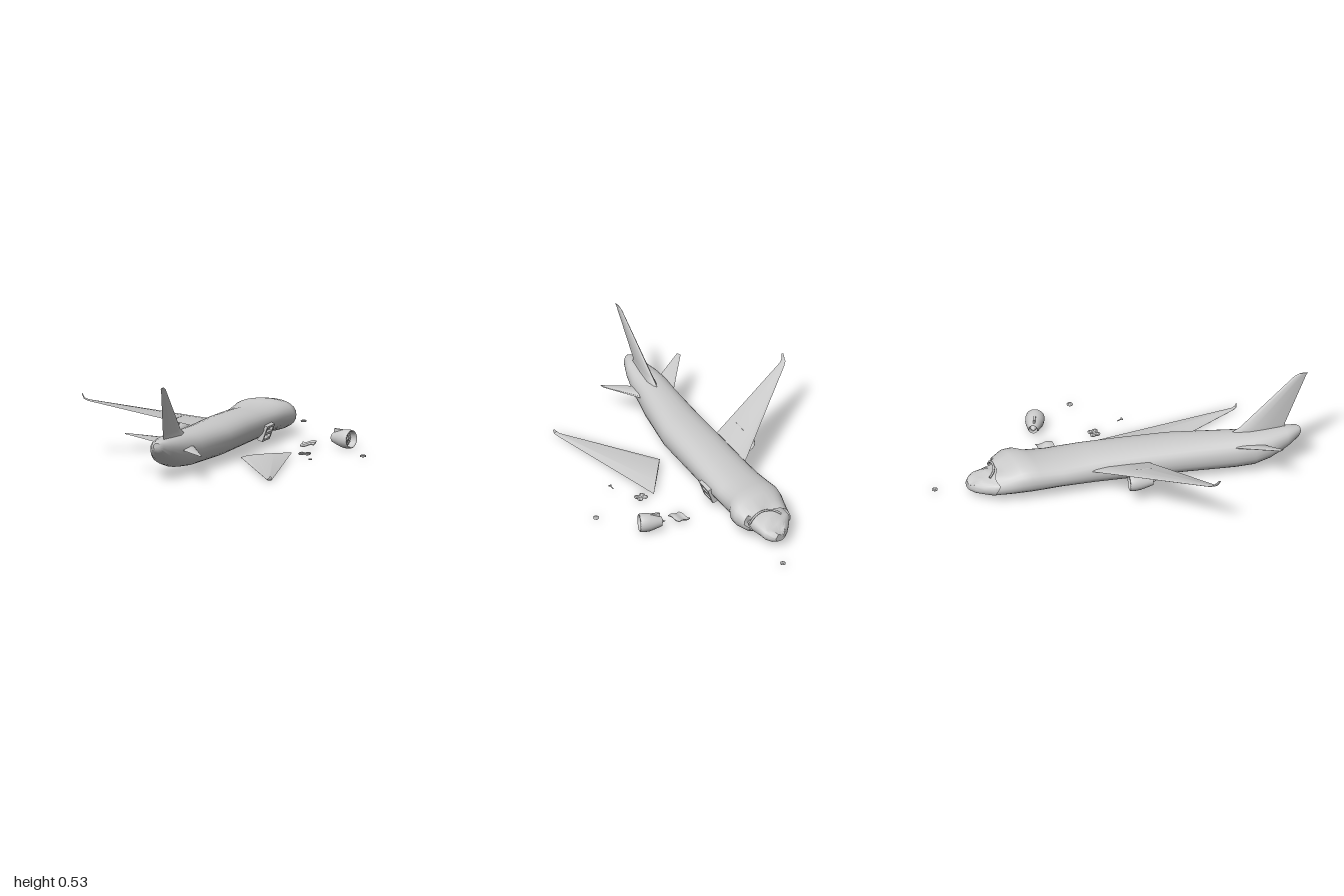
import * as THREE from 'three';
import { toCreasedNormals } from 'three/addons/utils/BufferGeometryUtils.js';

const grey = new THREE.MeshStandardMaterial({ color: 0xcccccc, side: THREE.DoubleSide });
const V = (x, y, z) => new THREE.Vector3(x, y, z);

// Skin over a list of closed rings with equal point counts; optional end caps.
function loft(rings, capStart, capEnd, crease = 0.7) {
  const n = rings[0].length, pos = [], idx = [];
  rings.forEach(r => r.forEach(p => pos.push(p.x, p.y, p.z)));
  for (let i = 0; i < rings.length - 1; i++) {
    for (let j = 0; j < n; j++) {
      const a = i * n + j, b = i * n + (j + 1) % n;
      idx.push(a, b, a + n, b, b + n, a + n);
    }
  }
  const cap = (row, flip) => {
    const c = V(0, 0, 0), centre = pos.length / 3;
    rings[row].forEach(p => c.addScaledVector(p, 1 / n));
    pos.push(c.x, c.y, c.z);
    for (let j = 0; j < n; j++) {
      const a = row * n + j, b = row * n + (j + 1) % n;
      if (flip) idx.push(centre, b, a); else idx.push(centre, a, b);
    }
  };
  if (capStart) cap(0, true);
  if (capEnd) cap(rings.length - 1, false);
  const g = new THREE.BufferGeometry();
  g.setAttribute('position', new THREE.Float32BufferAttribute(pos, 3));
  g.setIndex(idx);
  return toCreasedNormals(g, crease);
}

// Oval hull ring from [z, xLeft, xRight, yBottom, yTop].
function oval([z, x0, x1, y0, y1], warp) {
  return Array.from({ length: 28 }, (_, i) => {
    const a = i / 28 * Math.PI * 2, c = Math.cos(a), s = Math.sin(a);
    const sq = v => Math.sign(v) * Math.pow(Math.abs(v), 0.88);
    const p = V((x0 + x1) / 2 + sq(c) * (x1 - x0) / 2, (y0 + y1) / 2 + sq(s) * (y1 - y0) / 2, z);
    if (warp) warp(p, a);
    return p;
  });
}

// Lens-shaped airfoil ring between a leading and a trailing edge point.
function foil(le, te, thick, up = V(0, 1, 0)) {
  const pts = [[0, 0], [0.08, 0.6], [0.3, 1], [0.65, 0.65], [1, 0.05], [0.65, -0.65], [0.3, -1], [0.08, -0.6]];
  return pts.map(([t, h]) => V(...le).lerp(V(...te), t).addScaledVector(up, h * thick / 2));
}

function add(parent, name, geometry, x = 0, y = 0, z = 0) {
  const m = new THREE.Mesh(geometry, grey);
  m.name = name;
  m.position.set(x, y, z);
  parent.add(m);
  return m;
}

// Hollow nacelle with fan, spinner and blades; its intake points along dir.
function engine(name, x, y, z, r, len, dir) {
  const g = new THREE.Group();
  g.name = name;
  const shell = [[0.5, -0.5], [0.68, -0.3], [0.95, 0.05], [1, 0.3], [0.96, 0.46], [0.88, 0.5],
    [0.8, 0.44], [0.78, 0.2], [0.5, -0.2], [0.44, -0.5], [0.5, -0.5]];
  add(g, 'nacelle', new THREE.LatheGeometry(shell.map(([a, b]) => new THREE.Vector2(a * r, b * len)), 24));
  add(g, 'fanDisc', new THREE.CylinderGeometry(r * 0.78, r * 0.78, 0.004, 24), 0, len * 0.16, 0);
  add(g, 'spinner', new THREE.ConeGeometry(r * 0.28, len * 0.2, 16), 0, len * 0.26, 0);
  add(g, 'exhaustCone', new THREE.ConeGeometry(r * 0.34, len * 0.3, 16), 0, -len * 0.52, 0).rotation.x = Math.PI;
  for (let i = 0; i < 12; i++) {
    const blade = add(g, 'fanBlade', new THREE.BoxGeometry(r * 0.75, 0.004, 0.003), 0, len * 0.2, 0);
    blade.geometry.translate(r * 0.38, 0, 0);
    blade.rotation.y = i * Math.PI / 6;
  }
  g.quaternion.setFromUnitVectors(V(0, 1, 0), V(...dir).normalize());
  g.position.set(x, y, z);
  return g;
}

// Loose tyre lying flat on the ground.
function wheel(parent, x, y, z, r) {
  const g = new THREE.Group();
  g.name = 'wheel';
  g.position.set(x, y, z);
  add(g, 'tyre', new THREE.TorusGeometry(r * 0.68, r * 0.32, 8, 20)).rotation.x = Math.PI / 2;
  add(g, 'hub', new THREE.CylinderGeometry(r * 0.45, r * 0.45, r * 0.4, 14));
  parent.add(g);
  return g;
}

export function createModel() {
  const model = new THREE.Group();
  model.name = 'wreckedAirliner';

  // Fuselage, tail to torn front rim
  const hull = [
    [0.935, -0.27, -0.235, 0.185, 0.222], [0.92, -0.283, -0.215, 0.165, 0.23], [0.85, -0.3, -0.175, 0.118, 0.23],
    [0.75, -0.312, -0.13, 0.072, 0.228], [0.66, -0.305, -0.1, 0.045, 0.226], [0.56, -0.28, -0.055, 0.035, 0.224],
    [0.27, -0.212, 0.06, 0.034, 0.222], [0, -0.155, 0.125, 0.034, 0.22], [-0.2, -0.112, 0.175, 0.036, 0.212],
    [-0.38, -0.085, 0.215, 0.042, 0.198], [-0.5, -0.067, 0.24, 0.036, 0.208], [-0.55, -0.06, 0.278, 0.032, 0.216],
    [-0.6, -0.045, 0.288, 0.03, 0.208], [-0.66, -0.02, 0.27, 0.03, 0.178], [-0.7, 0.004, 0.245, 0.032, 0.158]];
  const rings = hull.map(h => oval(h, (p, a) => {
    // Ragged rim: the roof reaches further on one side
    if (h[0] === -0.7) {
      p.z += 0.25 * (p.x - 0.12) + 0.012 * Math.sin(a * 5);
      if (Math.sin(a) > 0.4) p.y += 0.006 * Math.cos(a * 6);
    }
  }));
  add(model, 'fuselage', loft(rings, true, false));

  // Crushed nose, pushed down out of the rim
  const nose = [[-0.6, -0.03, 0.21, 0.035, 0.165], [-0.68, 0, 0.238, 0.03, 0.15], [-0.74, 0.016, 0.236, 0.03, 0.142],
    [-0.785, 0.062, 0.236, 0.031, 0.122], [-0.815, 0.095, 0.22, 0.034, 0.108], [-0.838, 0.13, 0.195, 0.045, 0.09]];
  add(model, 'nose', loft(nose.map(h => oval(h, (p, a) => {
    if (Math.sin(a) > 0) p.y -= 0.008 * (1 + Math.sin(a * 4 + h[0] * 60)) * Math.sin(a);
  })), true, true));

  // Torn lip over the cockpit
  const lip = new THREE.CatmullRomCurve3([V(0.08, 0.14, -0.745), V(0.11, 0.157, -0.71), V(0.17, 0.162, -0.69),
    V(0.22, 0.145, -0.685), V(0.25, 0.11, -0.68)]);
  add(model, 'tornLip', new THREE.TubeGeometry(lip, 20, 0.006, 6));

  // Attached wing with winglet
  add(model, 'leftSideWing', loft([
    foil([-0.03, 0.13, -0.27], [-0.1, 0.13, 0.1], 0.03),
    foil([-0.11, 0.15, -0.22], [-0.17, 0.165, 0.085], 0.026),
    foil([-0.73, 0.316, 0.187], [-0.73, 0.316, 0.226], 0.008),
    foil([-0.75, 0.328, 0.203], [-0.75, 0.328, 0.236], 0.008, V(0.6, 0.8, 0)),
    foil([-0.759, 0.358, 0.232], [-0.758, 0.354, 0.245], 0.004, V(1, 0, 0))], true, true));
  model.add(engine('wingEngine', -0.27, 0.125, -0.01, 0.045, 0.13, [0.24, 0, -1]));
  add(model, 'enginePylon', new THREE.BoxGeometry(0.012, 0.05, 0.09), -0.27, 0.175, 0.01).rotation.y = -0.24;

  // Broken wing lying on the ground
  add(model, 'brokenWing', loft([
    foil([0.105, 0.03, 0.24], [0.35, 0.02, 0], 0.018),
    foil([0.33, 0.015, 0.81], [0.355, 0.012, 0.805], 0.008),
    foil([0.335, 0.02, 0.825], [0.357, 0.018, 0.825], 0.008),
    foil([0.348, 0.036, 0.833], [0.358, 0.034, 0.833], 0.004)], true, true));

  // Tail fin and stabilisers
  add(model, 'tailFin', loft([
    foil([-0.15, 0.2, 0.54], [-0.225, 0.2, 0.86], 0.05, V(1, 0, 0)),
    foil([-0.17, 0.25, 0.62], [-0.23, 0.25, 0.86], 0.03, V(1, 0, 0)),
    foil([-0.208, 0.52, 0.925], [-0.221, 0.52, 0.99], 0.012, V(1, 0, 0)),
    foil([-0.213, 0.533, 0.955], [-0.222, 0.532, 1], 0.006, V(1, 0, 0))], true, true));
  add(model, 'stabiliser', loft([foil([-0.2, 0.17, 0.5], [-0.24, 0.17, 0.69], 0.02),
    foil([-0.455, 0.236, 0.73], [-0.45, 0.236, 0.755], 0.006)], true, true));
  add(model, 'stabiliser', loft([foil([-0.12, 0.158, 0.54], [-0.19, 0.158, 0.7], 0.02),
    foil([-0.02, 0.145, 0.855], [-0.02, 0.145, 0.885], 0.006)], true, true));

  // Wing root stub with two spar openings
  const stub = new THREE.Shape([[-0.055, -0.045], [0.055, -0.045], [0.055, 0.045], [-0.055, 0.045]].map(p => new THREE.Vector2(...p)));
  for (const s of [-1, 1]) {
    stub.holes.push(new THREE.Path([[-0.04, -0.012], [0.04, -0.012], [0.04, 0.012], [-0.04, 0.012]]
      .map(([a, b]) => new THREE.Vector2(a, b + s * 0.02))));
  }
  const root = add(model, 'wingRootStub', new THREE.ExtrudeGeometry(stub, { depth: 0.03, bevelEnabled: false }), 0.16, 0.09, -0.25);
  root.rotation.set(0, Math.PI / 2 - 0.24, 0);
  root.rotateX(0.35);

  // Detached engine
  model.add(engine('detachedEngine', 0.59, 0.058, -0.255, 0.052, 0.125, [0.87, 0.02, 0.5]));
  add(model, 'brokenPylon', new THREE.BoxGeometry(0.05, 0.02, 0.012), 0.565, 0.098, -0.265).rotation.y = -0.52;

  // Buckled skin panel
  const panel = new THREE.BoxGeometry(0.075, 0.005, 0.095, 8, 1, 8);
  const pp = panel.attributes.position;
  for (let i = 0; i < pp.count; i++) {
    pp.setY(i, pp.getY(i) + 0.006 * Math.sin(pp.getX(i) * 70) + 0.003 * Math.sin(pp.getZ(i) * 90));
  }
  panel.computeVertexNormals();
  add(model, 'skinPanel', panel, 0.4, 0.022, -0.27);

  // Landing gear bogie and scattered pieces
  const bogie = new THREE.Group();
  bogie.name = 'landingGear';
  bogie.position.set(0.422, 0.02, 0.022);
  for (const sx of [-1, 1]) for (const sz of [-1, 1]) wheel(bogie, sx * 0.017, 0, sz * 0.013, 0.016);
  add(bogie, 'axleBeam', new THREE.BoxGeometry(0.05, 0.008, 0.01));
  model.add(bogie);
  wheel(model, 0.74, 0.015, 0.022, 0.017);
  wheel(model, 0.272, 0.015, -0.985, 0.016);
  add(model, 'brokenStrut', new THREE.CylinderGeometry(0.003, 0.003, 0.028, 8), 0.48, 0.022, 0.2).rotation.x = 1.3;
  add(model, 'strutFoot', new THREE.CylinderGeometry(0.004, 0.004, 0.018, 8), 0.48, 0.025, 0.213).rotation.z = Math.PI / 2;

  return model;
}
